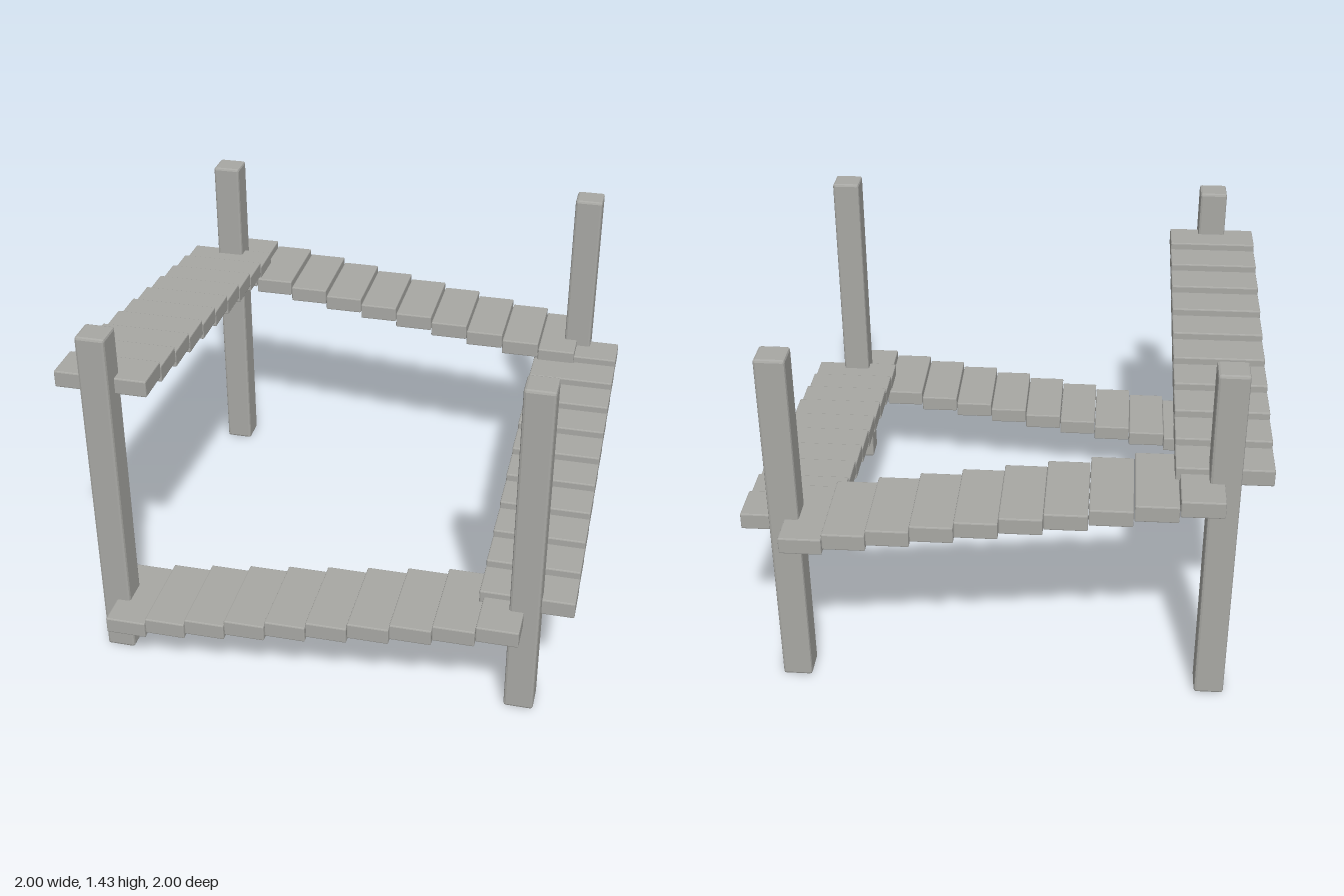
import * as THREE from 'three';
import { RoundedBoxGeometry } from 'three/addons/geometries/RoundedBoxGeometry.js';

const STEPS = 10;      // steps per flight
const SPAN = 1.63;     // flight length, post to post
const RISE = 0.0256;   // climb per step
const BASE = 0.206;    // centre height of the lowest step

export function createModel() {
  const model = new THREE.Group();
  const stone = new THREE.MeshStandardMaterial({ color: 0xa8a8a4 });
  stone.name = 'greyStone';
  stone.flatShading = true;

  const pitch = SPAN / STEPS;
  const stepGeo = new RoundedBoxGeometry(pitch - 0.002, 0.067, 0.362, 1, 0.005);
  const postGeo = new RoundedBoxGeometry(0.115, 1.428, 0.115, 1, 0.01);

  // Four flights climbing counter-clockwise, starting at the front
  ['front', 'right', 'back', 'left'].forEach((side, f) => {
    const flight = new THREE.Group();
    flight.name = side + 'Flight';
    flight.rotation.y = f * Math.PI / 2;
    for (let i = 0; i < STEPS; i++) {
      const step = new THREE.Mesh(stepGeo, stone);
      step.name = 'step';
      step.position.set(-SPAN / 2 + (i + 0.5) * pitch, BASE + (f * STEPS + i) * RISE, 0.817);
      flight.add(step);
    }
    model.add(flight);
  });

  // Corner posts
  for (const x of [-1, 1]) {
    for (const z of [-1, 1]) {
      const post = new THREE.Mesh(postGeo, stone);
      post.name = 'cornerPost';
      post.position.set(x * 0.816, 0.714, z * 0.816);
      model.add(post);
    }
  }
  return model;
}
